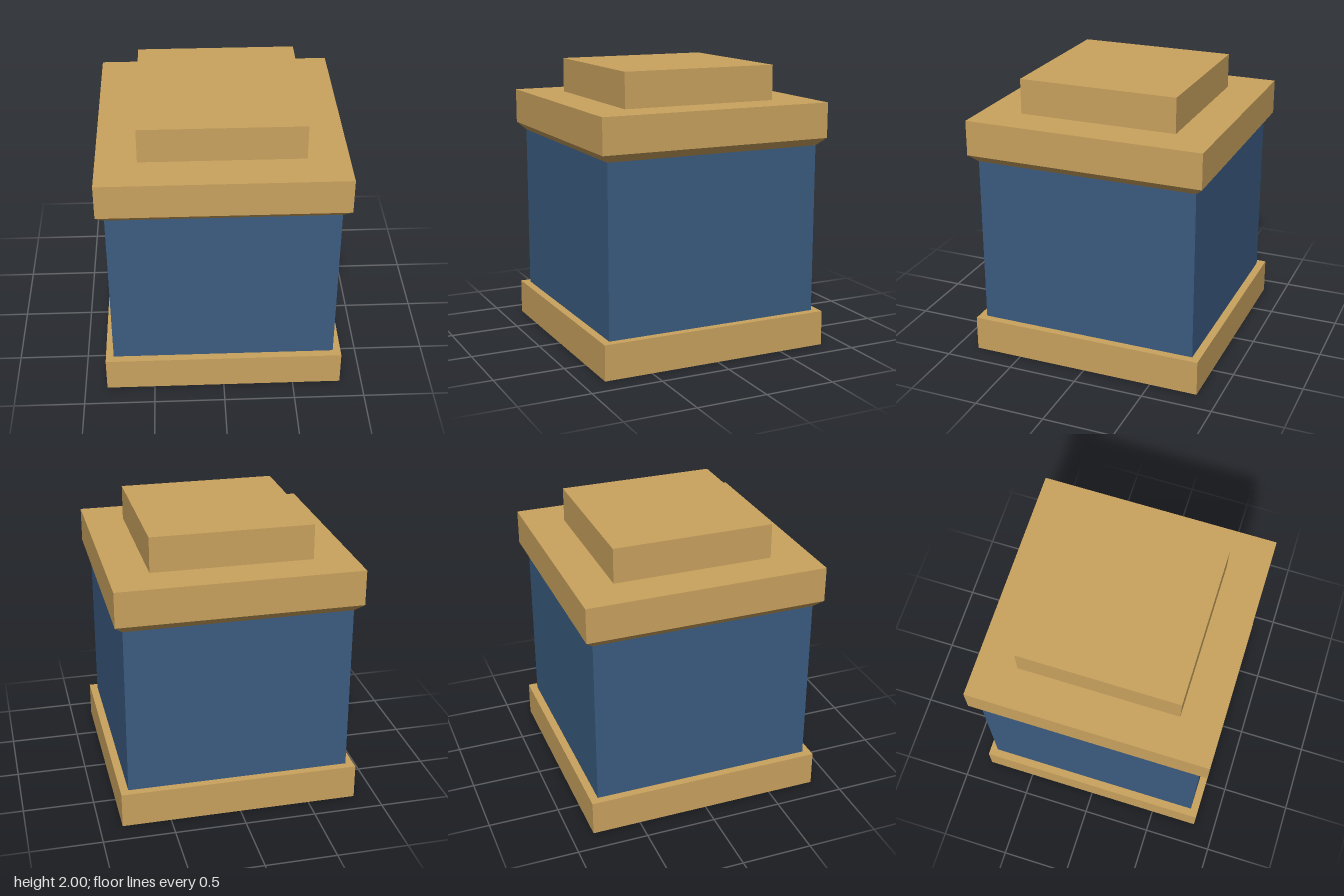
import * as THREE from 'three';

// Square tier from y0 to y1, with half-widths at its bottom and top
function tier(name, y0, y1, halfBottom, halfTop, material) {
  const r = Math.SQRT2;
  const geometry = new THREE.CylinderGeometry(halfTop * r, halfBottom * r, y1 - y0, 4, 1, false, Math.PI / 4).toNonIndexed();
  geometry.computeVertexNormals(); // crisp flat faces
  const mesh = new THREE.Mesh(geometry, material);
  mesh.name = name;
  mesh.position.y = (y0 + y1) / 2;
  return mesh;
}

export function createModel() {
  const tan = new THREE.MeshStandardMaterial({ color: 0xc9a25e });
  tan.name = 'tan';
  const blue = new THREE.MeshStandardMaterial({ color: 0x3b5c80 });
  blue.name = 'blue';

  const model = new THREE.Group();
  model.name = 'pedestal';
  model.add(
    tier('base', 0, 0.25, 0.843, 0.843, tan),
    tier('body', 0.25, 1.45, 0.787, 0.787, blue),
    tier('bevelledMoulding', 1.45, 1.505, 0.787, 0.843, tan), // flares out under the cap
    tier('cap', 1.505, 1.753, 0.843, 0.843, tan),
    tier('topBlock', 1.753, 2, 0.563, 0.563, tan)
  );
  return model;
}
